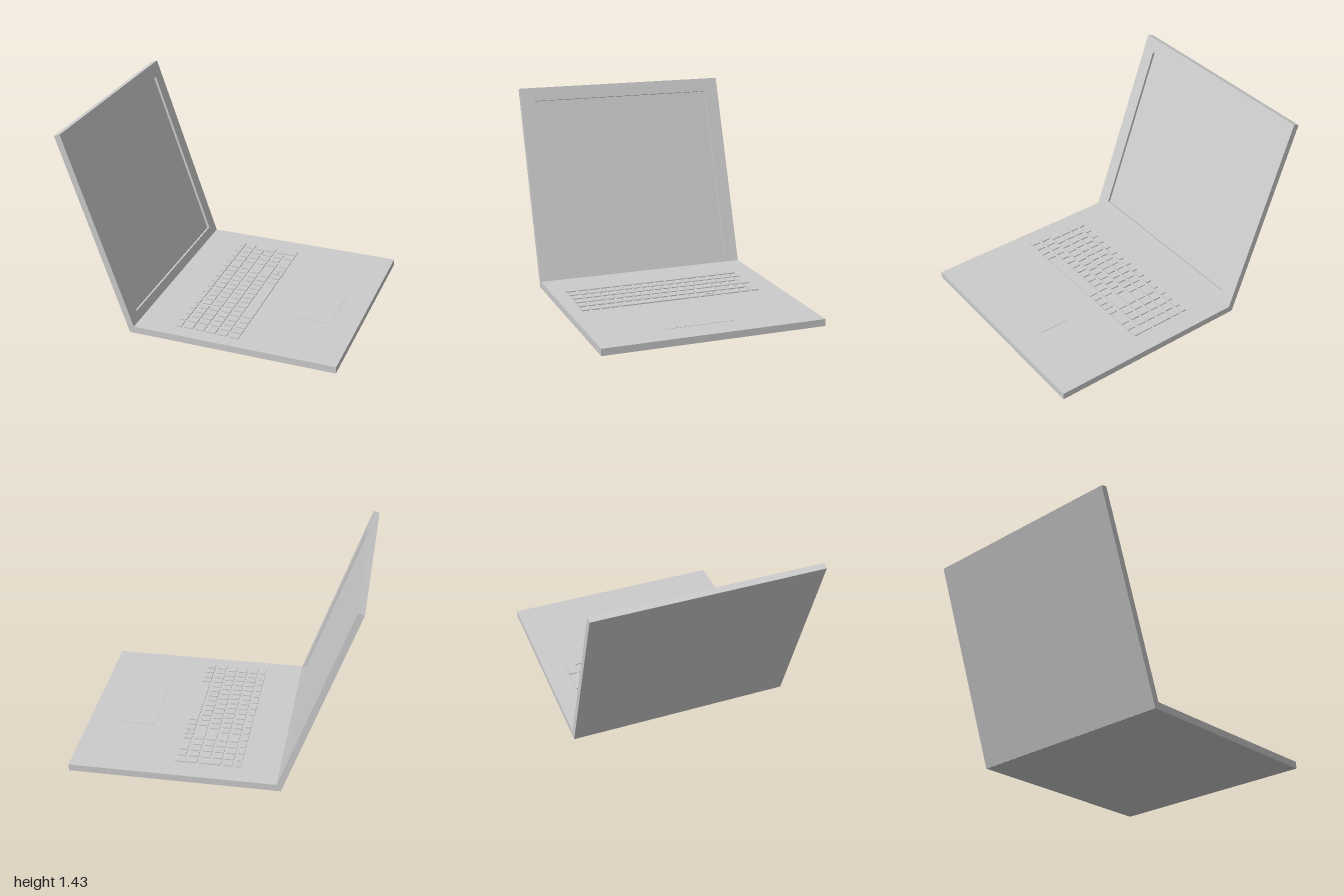
import * as THREE from 'three';

const grey = new THREE.MeshStandardMaterial({ color: 0xcccccc, flatShading: true });
const HALF = 0.8; // half width along z
const DECK = 0.05; // top of the base

function add(parent, name, geometry) {
  const mesh = new THREE.Mesh(geometry, grey);
  mesh.name = name;
  parent.add(mesh);
  return mesh;
}

// Extrude a side profile (x, y) across the full width
function across(points) {
  const shape = new THREE.Shape(points.map(([x, y]) => new THREE.Vector2(x, y)));
  return new THREE.ExtrudeGeometry(shape, { depth: 2 * HALF, bevelEnabled: false }).translate(0, 0, -HALF);
}

// Block standing on the deck
function block(parent, name, x0, x1, z0, z1, height) {
  const mesh = add(parent, name, new THREE.BoxGeometry(x1 - x0, height, z1 - z0));
  mesh.position.set((x0 + x1) / 2, DECK + height / 2, (z0 + z1) / 2);
}

function rectangle(Type, x0, y0, x1, y1) {
  return new Type([[x0, y0], [x1, y0], [x1, y1], [x0, y1]].map(([x, y]) => new THREE.Vector2(x, y)));
}

function createLid() {
  const lid = new THREE.Group();
  lid.name = 'lid';
  const top = 1.463, depth = 0.018;

  // Back panel, whose front face is the recessed screen
  add(lid, 'screenPanel', across([[-0.046, -0.037], [-depth, -0.0145], [-depth, top], [-0.046, top]]));

  // Bezel around the screen
  const bezel = rectangle(THREE.Shape, -HALF, 0, HALF, top);
  bezel.holes.push(rectangle(THREE.Path, -0.696, 0.069, 0.696, 1.362));
  add(lid, 'bezel', new THREE.ExtrudeGeometry(bezel, { depth, bevelEnabled: false }).rotateY(-Math.PI / 2));

  lid.position.set(-0.47, DECK, 0);
  lid.rotation.z = 0.338;
  return lid;
}

function createKeyboard() {
  const keyboard = new THREE.Group();
  keyboard.name = 'keyboard';
  const gap = 0.014, height = 0.008;

  // Row of equal keys between z0 and z1
  const run = ([x0, x1], z0, z1, count = 1) => {
    const pitch = (z1 - z0 + gap) / count;
    for (let i = 0; i < count; i++) {
      const z = z0 + i * pitch;
      block(keyboard, 'key', x0, x1, z, z + pitch - gap, height);
    }
  };

  const rows = [[-0.198, -0.157], [-0.135, -0.072], [-0.053, 0.012], [0.032, 0.098], [0.117, 0.184], [0.208, 0.272]];
  const [functions, numbers, upper, home, lower, bottom] = rows;

  // Function row
  run(functions, -0.64, -0.58);
  run(functions, -0.57, 0.60, 14);
  run(functions, 0.617, 0.692);

  // Number row and upper letter row
  run(numbers, -0.64, -0.58);
  for (const row of [numbers, upper]) {
    run(row, -0.564, -0.36, 3);
    run(row, -0.345, -0.254);
    run(row, -0.24, 0.602, 13);
    run(row, 0.617, 0.692);
  }

  // Tall number-pad keys spanning two rows
  run([upper[0], home[1]], -0.64, -0.58);
  run([lower[0], bottom[1]], -0.64, -0.58);

  // Home row
  run(home, -0.564, -0.36, 3);
  run(home, -0.345, -0.217);
  run(home, -0.2, 0.602, 12);
  run(home, 0.617, 0.697);

  // Lower letter row
  run(lower, -0.564, -0.36, 3);
  run(lower, -0.345, -0.184);
  run(lower, -0.168, 0.697, 13);

  // Bottom row with split arrow keys and the space bar
  run(bottom, -0.564, -0.505);
  run(bottom, -0.489, -0.366);
  run(bottom, -0.35, -0.302);
  run([0.203, 0.233], -0.291, -0.243);
  run([0.245, 0.275], -0.291, -0.243);
  run(bottom, -0.233, -0.115, 2);
  run(bottom, -0.104, 0.42);
  run(bottom, 0.436, 0.703, 4);
  return keyboard;
}

export function createModel() {
  const laptop = new THREE.Group();
  laptop.name = 'laptop';

  // Base slab, mitred where it meets the lid
  add(laptop, 'base', across([[-0.5, 0], [1, 0], [1, DECK], [-0.47, DECK], [-0.487, 0.044]]));
  laptop.add(createKeyboard());
  block(laptop, 'trackpad', 0.515, 0.81, -0.21, 0.29, 0.002);
  laptop.add(createLid());
  return laptop;
}
